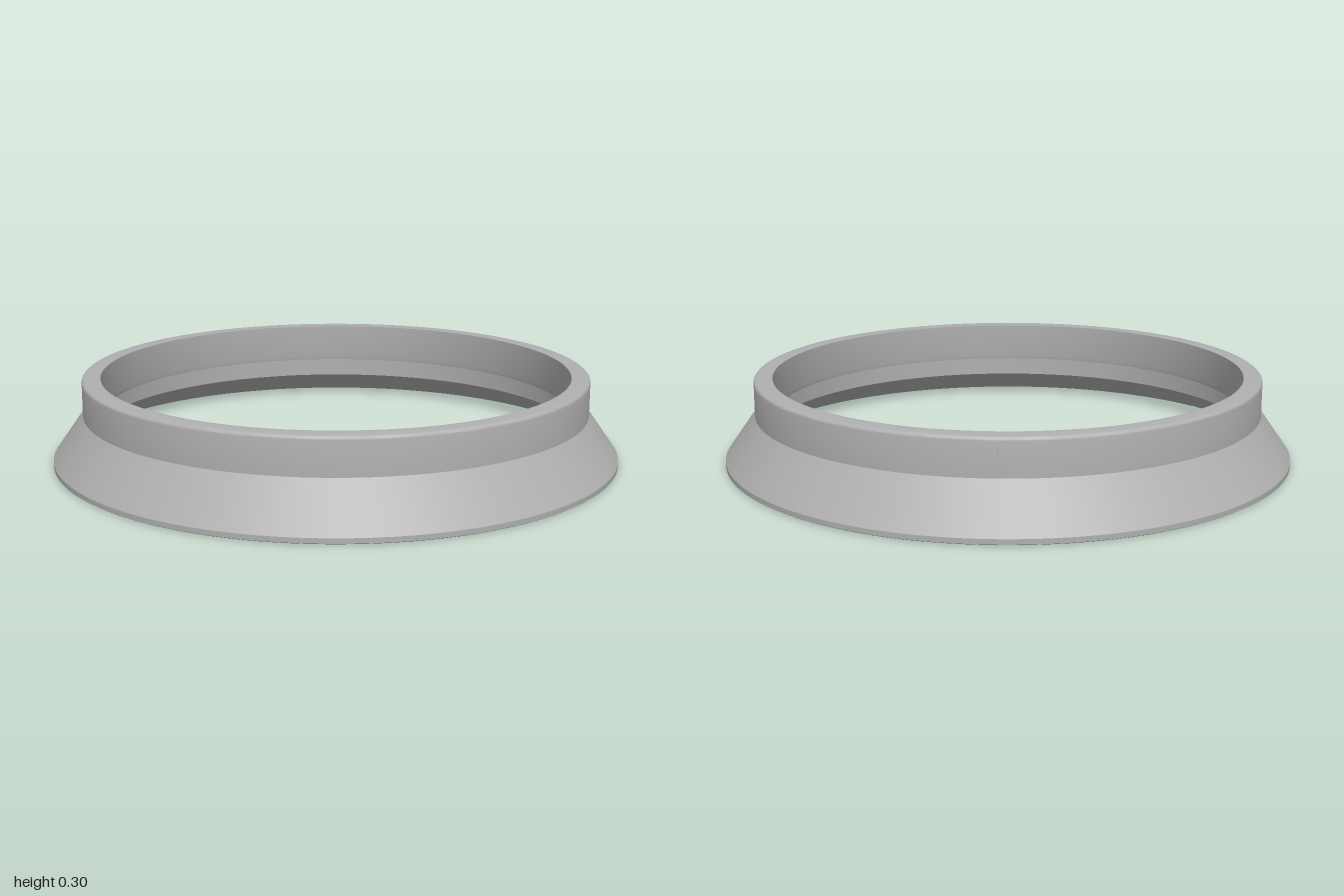
import * as THREE from 'three';
import { toCreasedNormals } from 'three/addons/utils/BufferGeometryUtils.js';

export function createModel() {
  const group = new THREE.Group();
  const metal = new THREE.MeshStandardMaterial({ color: 0xb0b0b0 });
  metal.name = 'greyMetal';

  // Closed cross-section [radius, height]: up the outside, down the inside
  const fillet = 0.012, outer = 0.893, top = 0.3;
  const section = [[0.995, 0], [1, 0.003], [1, 0.02], [outer, 0.172]];
  for (let i = 0; i <= 4; i++) {
    const a = (i / 4) * Math.PI / 2;
    section.push([outer - fillet + fillet * Math.cos(a), top - fillet + fillet * Math.sin(a)]);
  }
  section.push(
    [0.828, top], [0.828, 0.175],   // bore
    [0.831, 0.16], [0.87, 0.16],    // step under the bore
    [0.87, 0.086], [0.995, 0]       // counterbore and inner flare
  );
  const points = section.map(([r, y]) => new THREE.Vector2(r, y));
  const ring = new THREE.Mesh(toCreasedNormals(new THREE.LatheGeometry(points, 144), 0.56), metal);
  ring.name = 'flaredRing';
  group.add(ring);

  // Hairline index mark on the collar, at the back
  const mark = new THREE.Mesh(new THREE.BoxGeometry(0.005, 0.08, 0.004), metal);
  const angle = Math.atan2(0.445, -0.773);
  mark.position.set(outer * Math.sin(angle), 0.232, outer * Math.cos(angle));
  mark.rotation.y = angle;
  mark.name = 'indexMark';
  group.add(mark);

  return group;
}
